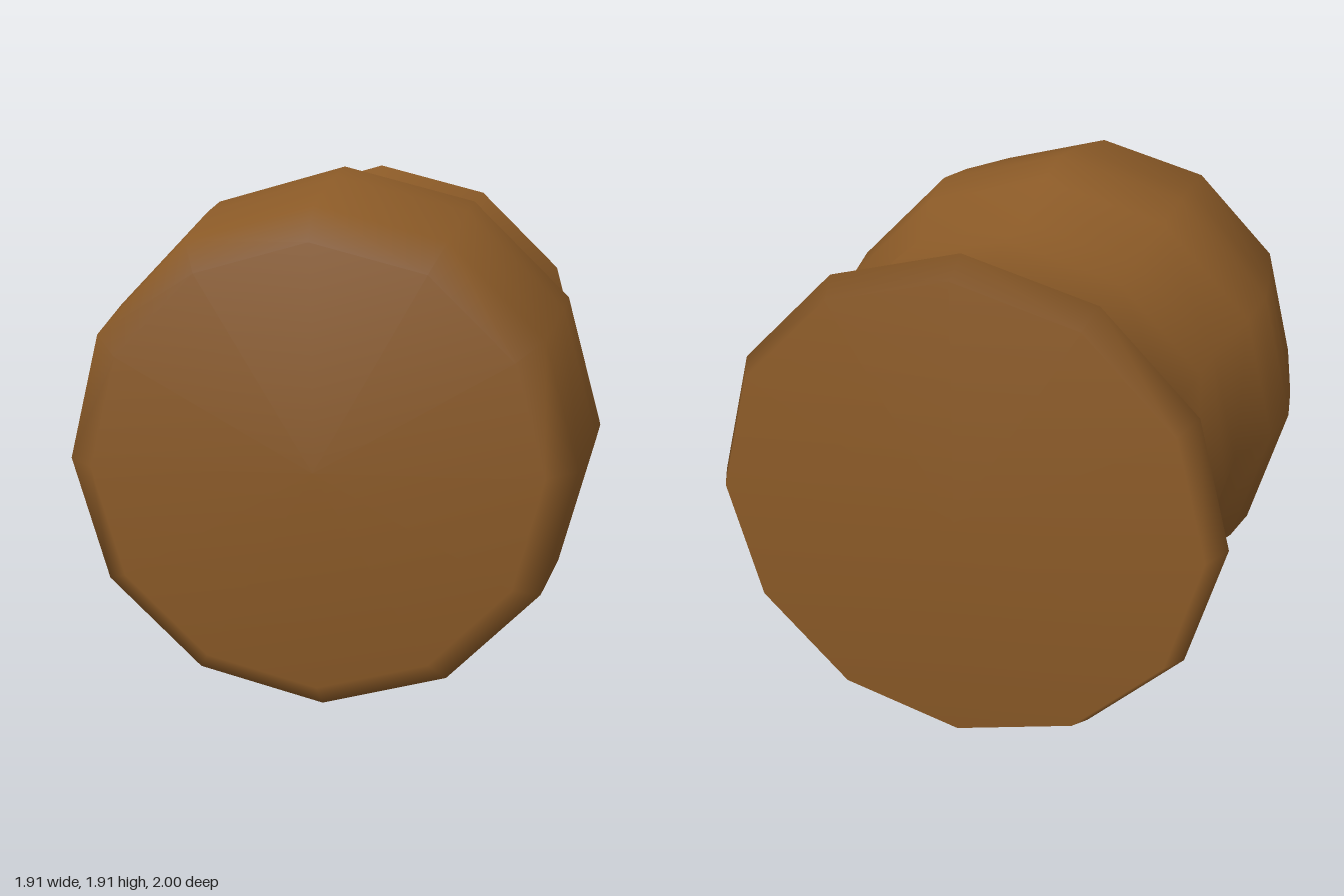
import * as THREE from 'three';

export function createModel() {
  const model = new THREE.Group();
  const brown = new THREE.MeshStandardMaterial({ color: 0x8b5a27 });
  brown.name = 'brown';

  // Closed profile from back to front: [radius, z]
  const profile = [
    [0, -1], [0.855, -1], [0.912, -0.89], [0.76, -0.67], [0.82, -0.45],
    [0.82, -0.23], [0.918, 0], [0.957, 0.21], [0.935, 0.43],
    [0.865, 0.885], [0.757, 1], [0, 1],
  ].map(([r, z]) => new THREE.Vector2(r, z));

  // Twelve-sided turned body, laid along z with a slight roll
  const geometry = new THREE.LatheGeometry(profile, 12);
  geometry.rotateX(Math.PI / 2);
  geometry.rotateZ(0.011);

  const body = new THREE.Mesh(geometry, brown);
  body.name = 'turnedBody';
  body.position.y = 0.96;
  model.add(body);
  return model;
}
